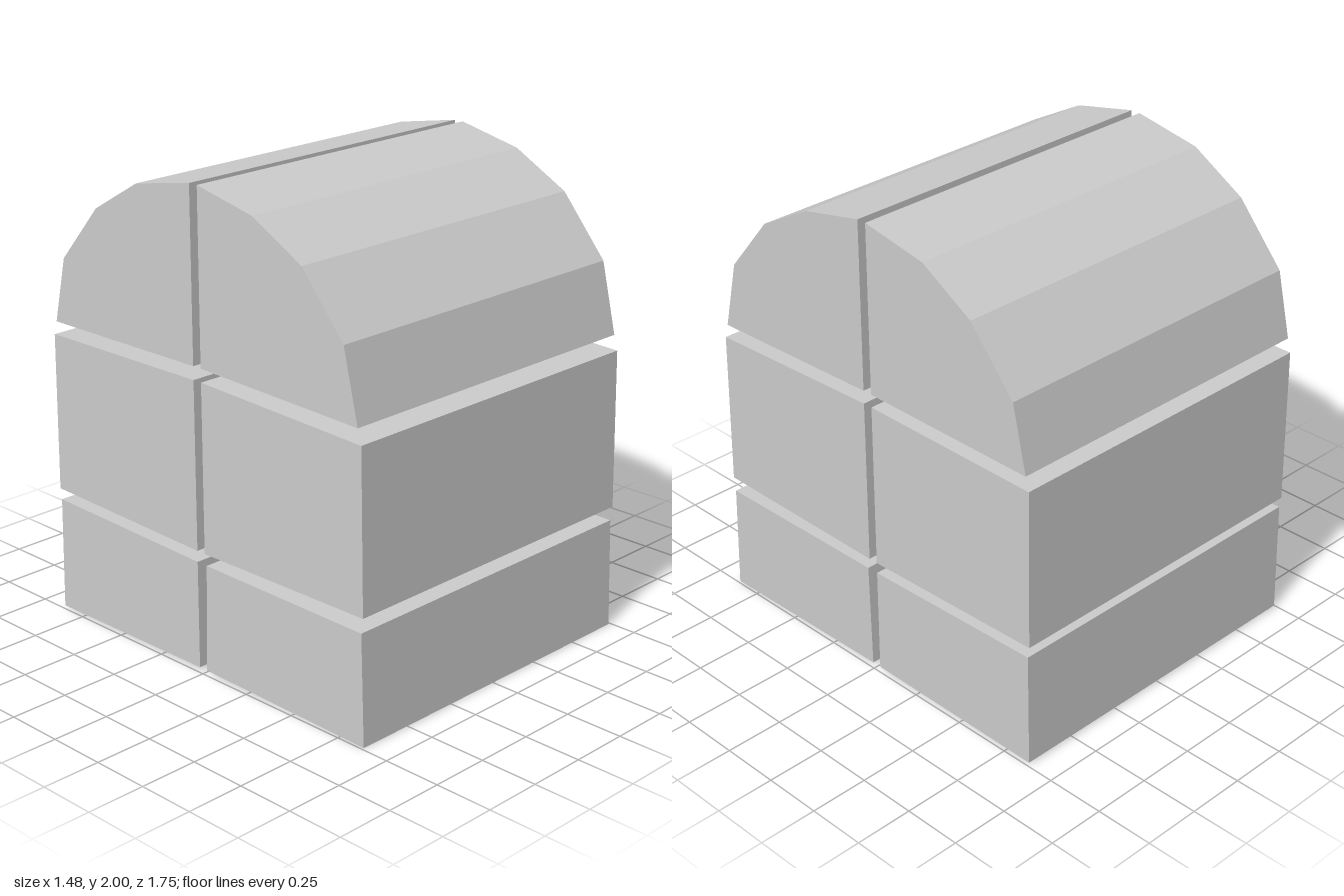
import * as THREE from 'three';

const WIDTH = 1.48;

// Side outlines of the six blocks as [z, y] corners
const BLOCKS = {
  frontBottomBlock: [[0.875, 0], [0.86, 0.466], [0.025, 0.474], [0.015, 0.016]],
  frontMiddleBlock: [[0.868, 0.528], [0.856, 1.2], [0.015, 1.23], [0.015, 0.522]],
  frontArchBlock: [[0.838, 1.262], [0.768, 1.556], [0.56, 1.802], [0.307, 1.938], [0.015, 2], [0.015, 1.286]],
  backBottomBlock: [[-0.875, 0.008], [-0.865, 0.498], [-0.027, 0.475], [-0.027, 0.016]],
  backMiddleBlock: [[-0.872, 0.545], [-0.864, 1.222], [-0.027, 1.23], [-0.027, 0.522]],
  backArchBlock: [[-0.848, 1.28], [-0.784, 1.558], [-0.572, 1.802], [-0.328, 1.945], [-0.027, 2], [-0.027, 1.286]],
};

export function createModel() {
  const model = new THREE.Group();
  model.name = 'splitArchBlocks';
  const material = new THREE.MeshStandardMaterial({ color: 0xcccccc, flatShading: true });

  // Each block is its outline extruded across the full width
  for (const [name, outline] of Object.entries(BLOCKS)) {
    const shape = new THREE.Shape(outline.map(([z, y]) => new THREE.Vector2(z, y)));
    const geometry = new THREE.ExtrudeGeometry(shape, { depth: WIDTH, bevelEnabled: false });
    geometry.rotateY(-Math.PI / 2).translate(WIDTH / 2, 0, 0);
    const block = new THREE.Mesh(geometry, material);
    block.name = name;
    model.add(block);
  }
  return model;
}
